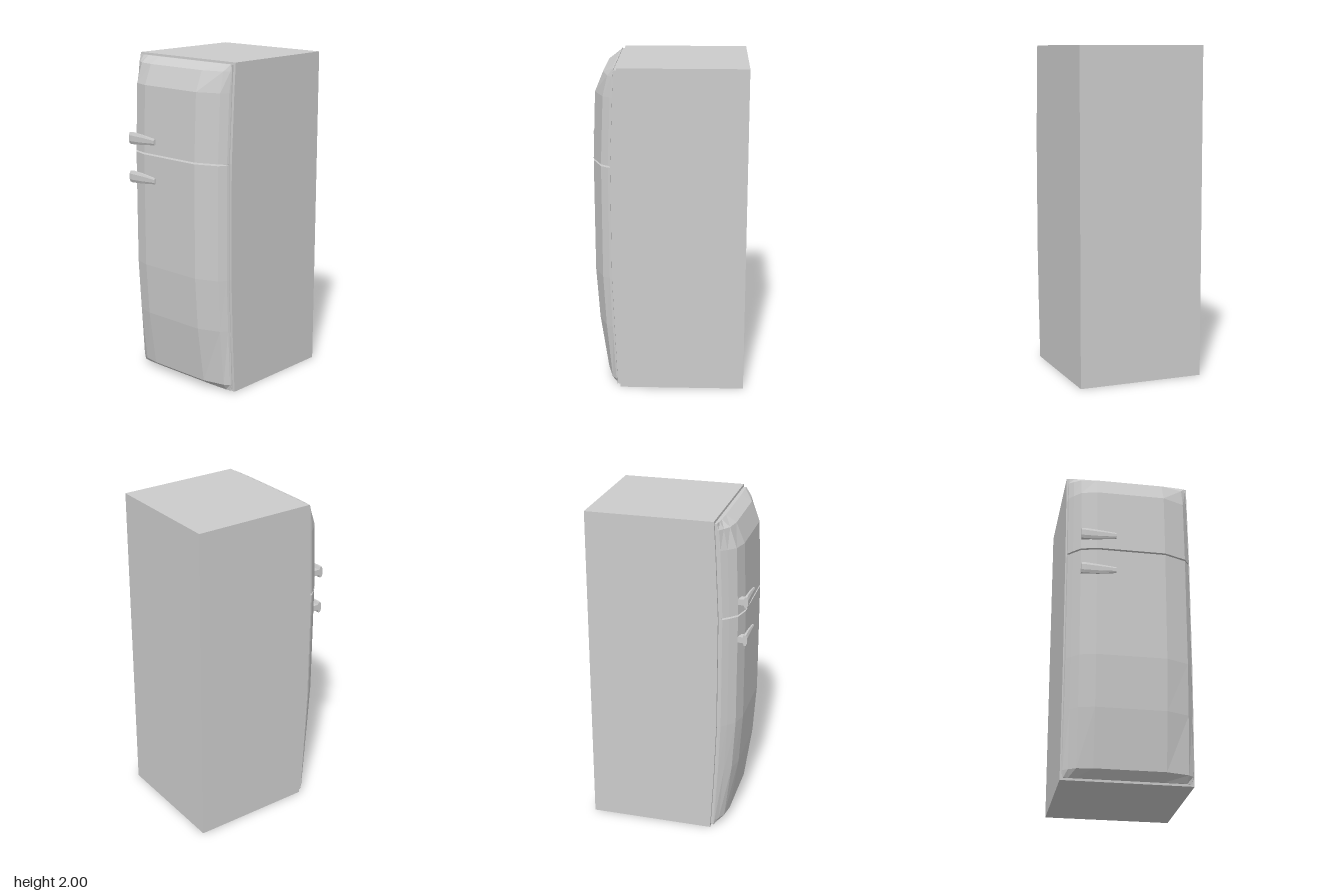
import * as THREE from 'three';

const material = new THREE.MeshStandardMaterial({ color: 0xcccccc, flatShading: true });

function addMesh(parent, geometry, name) {
  const mesh = new THREE.Mesh(geometry, material);
  mesh.name = name;
  parent.add(mesh);
  return mesh;
}

// Capped loft through closed rings of [x, y, z], ordered counter-clockwise along the direction of travel
function loft(rings) {
  const pos = [];
  const tri = (a, b, c) => pos.push(...a, ...b, ...c);
  const n = rings[0].length;
  for (let i = 0; i < rings.length - 1; i++) {
    for (let j = 0; j < n; j++) {
      const k = (j + 1) % n;
      const [lo, hi] = [rings[i], rings[i + 1]];
      tri(lo[j], lo[k], hi[k]);
      tri(lo[j], hi[k], hi[j]);
    }
  }
  const first = rings[0], last = rings[rings.length - 1];
  for (let j = 1; j < n - 1; j++) {
    tri(first[0], first[j + 1], first[j]);
    tri(last[0], last[j], last[j + 1]);
  }
  const geometry = new THREE.BufferGeometry();
  geometry.setAttribute('position', new THREE.Float32BufferAttribute(pos, 3));
  geometry.computeVertexNormals();
  return geometry;
}

// Side outline extruded across the width
function slab(points, halfWidth) {
  const shape = new THREE.Shape(points.map(([x, y]) => new THREE.Vector2(x, y)));
  return new THREE.ExtrudeGeometry(shape, { depth: 2 * halfWidth, bevelEnabled: false })
    .translate(0, 0, -halfWidth);
}

// Door section: [share of door depth, z]
const doorSection = [
  [0, -0.381], [0.1, -0.377], [0.4, -0.348], [0.78, -0.305], [1, -0.21],
  [1, 0.21], [0.5, 0.345], [0.12, 0.375], [0, 0.38],
];

// Door levels: [y, back x, front x, width scale]
function door(levels) {
  return loft(levels.map(([y, back, front, w]) =>
    doorSection.map(([t, z]) => [back + (front - back) * t, y, z * w])));
}

// Tapered octagonal grip, lofted along z: [z, centre x, half thickness, half height]
function grip() {
  const corners = [[1, 0.5], [0.45, 1], [-0.45, 1], [-1, 0.5], [-1, -0.5], [-0.45, -1], [0.45, -1], [1, -0.5]];
  const stations = [
    [-0.308, -0.461, 0.013, 0.034],
    [-0.285, -0.461, 0.014, 0.036],
    [-0.2, -0.461, 0.011, 0.03],
    [-0.095, -0.463, 0.008, 0.018],
  ];
  return loft(stations.map(([z, x, rx, ry]) => corners.map(([a, b]) => [x + a * rx, b * ry, z])));
}

export function createModel() {
  const model = new THREE.Group();
  model.name = 'refrigerator';

  // Cabinet with a gently bowed door side
  const bow = [[-0.285, 2], [-0.296, 1.83], [-0.316, 1.42], [-0.316, 0.72], [-0.303, 0.35], [-0.285, 0]];
  addMesh(model, slab([[0.475, 0], [0.475, 2], ...bow], 0.388), 'cabinet');

  // Recessed seal following the bow
  const inner = bow.map(([x, y]) => [x + 0.005, 1 + (y - 1) * 0.985]);
  const outer = bow.map(([x, y]) => [x - 0.018, 1 + (y - 1) * 0.985]).reverse();
  addMesh(model, slab([...inner, ...outer], 0.372), 'doorSeal');

  // Doors
  addMesh(model, door([
    [0.008, -0.303, -0.312, 0.985],
    [0.05, -0.304, -0.37, 1],
    [0.4, -0.317, -0.42, 1],
    [0.72, -0.329, -0.441, 1],
    [1.413, -0.329, -0.441, 1],
  ]), 'lowerDoor');
  addMesh(model, door([
    [1.424, -0.329, -0.441, 1],
    [1.83, -0.311, -0.425, 1],
    [1.95, -0.305, -0.375, 0.995],
    [1.99, -0.303, -0.312, 0.98],
  ]), 'upperDoor');

  // Handles, each a grip on a short bracket
  for (const [name, y] of [['upperHandle', 1.505], ['lowerHandle', 1.268]]) {
    const handle = new THREE.Group();
    handle.name = name;
    handle.position.y = y;
    addMesh(handle, grip(), 'grip');
    addMesh(handle, new THREE.BoxGeometry(0.055, 0.036, 0.05), 'bracket').position.set(-0.428, 0, -0.28);
    model.add(handle);
  }
  return model;
}
